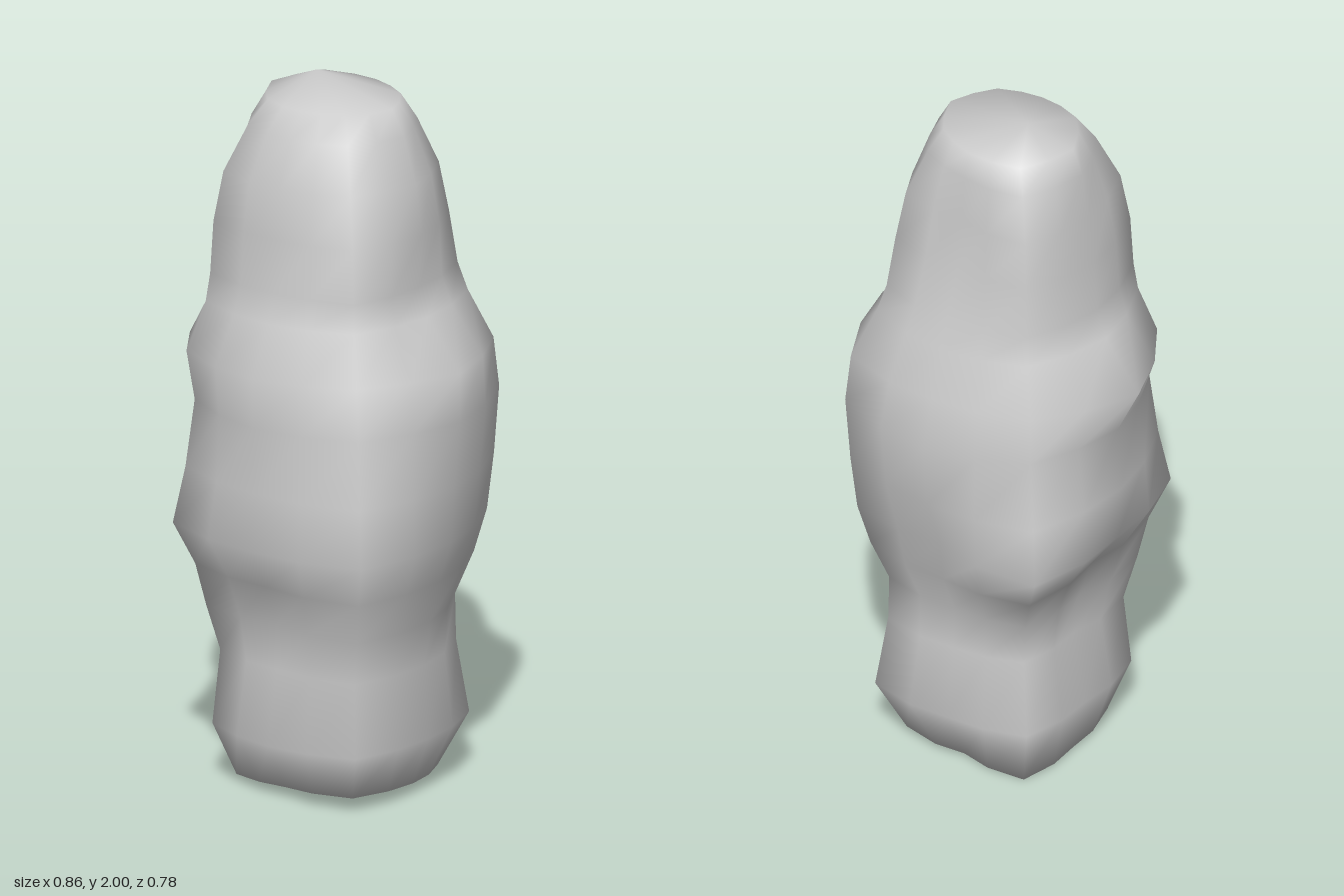
import * as THREE from 'three';

// Height, then reach toward +x, +z, -x and -z
const PROFILE = [
  [0.02, 0.26, 0.23, 0.22, 0.20],
  [0.17, 0.31, 0.31, 0.26, 0.28],
  [0.38, 0.30, 0.27, 0.22, 0.25],
  [0.51, 0.32, 0.27, 0.24, 0.25],
  [0.63, 0.35, 0.32, 0.28, 0.30],
  [0.75, 0.39, 0.39, 0.37, 0.31],
  [0.91, 0.40, 0.37, 0.38, 0.37],
  [1.10, 0.42, 0.38, 0.37, 0.39],
  [1.24, 0.42, 0.38, 0.44, 0.35],
  [1.38, 0.31, 0.31, 0.33, 0.31],
  [1.46, 0.28, 0.28, 0.30, 0.28],
  [1.61, 0.29, 0.27, 0.29, 0.23],
  [1.75, 0.27, 0.26, 0.27, 0.21],
  [1.88, 0.23, 0.21, 0.25, 0.20],
  [1.95, 0.19, 0.16, 0.22, 0.18],
];

// How far each corner bulges past its two sides, at every quarter unit of height
const CORNER_SWELL = [
  [1.30, 1.12, 1.34, 1.22, 1.14, 0.98, 1.22, 1.01, 1.00], // front left
  [1.22, 1.18, 1.41, 1.18, 1.06, 1.00, 1.23, 1.17, 0.95], // front right
  [1.35, 1.15, 1.24, 1.38, 1.08, 1.00, 1.13, 1.27, 1.10], // back right
  [1.20, 1.25, 1.14, 1.18, 1.09, 1.12, 1.20, 1.17, 0.90], // back left
];
const SIDES = 16;

function swellAt(stops, y) {
  const i = Math.floor(y * 4);
  return THREE.MathUtils.lerp(stops[i], stops[i + 1], y * 4 - i);
}

// Sixteen radii round a ring: sides, corners and the slightly flattened points between
function ringRadii(y, reach) {
  const main = reach.flatMap((r, k) => {
    const mean = (r + reach[(k + 1) % 4]) / 2;
    return [r, mean * swellAt(CORNER_SWELL[k], y)];
  });
  return main.flatMap((r, k) => [r, ((r + main[(k + 1) % 8]) / 2) * 0.965]);
}

// Stack the rings into one closed skin
function stoneGeometry() {
  const points = [];
  const faces = [];
  PROFILE.forEach(([y, ...reach], i) => {
    ringRadii(y, reach).forEach((r, j) => {
      const angle = (j / SIDES) * Math.PI * 2;
      const x = r * Math.cos(angle);
      const z = r * Math.sin(angle);
      // The base dips slightly toward the back right
      const tilt = i === 0 ? 0.05 * (x + z) : 0;
      points.push(x, y + tilt, z);
    });
  });

  // Centre of the base and the off-centre peak
  const last = (PROFILE.length - 1) * SIDES;
  const bottom = last + SIDES;
  const top = bottom + 1;
  points.push(0.02, 0.015, 0.01, -0.09, 2.0, -0.03);

  for (let j = 0; j < SIDES; j++) {
    const n = (j + 1) % SIDES;
    for (let i = 0; i < last; i += SIDES) {
      const a = i + j;
      const b = i + n;
      faces.push(a, a + SIDES, b, b, a + SIDES, b + SIDES);
    }
    faces.push(bottom, j, n, top, last + n, last + j);
  }

  const geometry = new THREE.BufferGeometry();
  geometry.setAttribute('position', new THREE.Float32BufferAttribute(points, 3));
  geometry.setIndex(faces);
  geometry.computeVertexNormals();
  return geometry;
}

export function createModel() {
  const group = new THREE.Group();
  group.name = 'rockPillar';
  const stone = new THREE.Mesh(stoneGeometry(), new THREE.MeshStandardMaterial({ color: 0xcccccc }));
  stone.name = 'weatheredStone';
  group.add(stone);
  return group;
}
